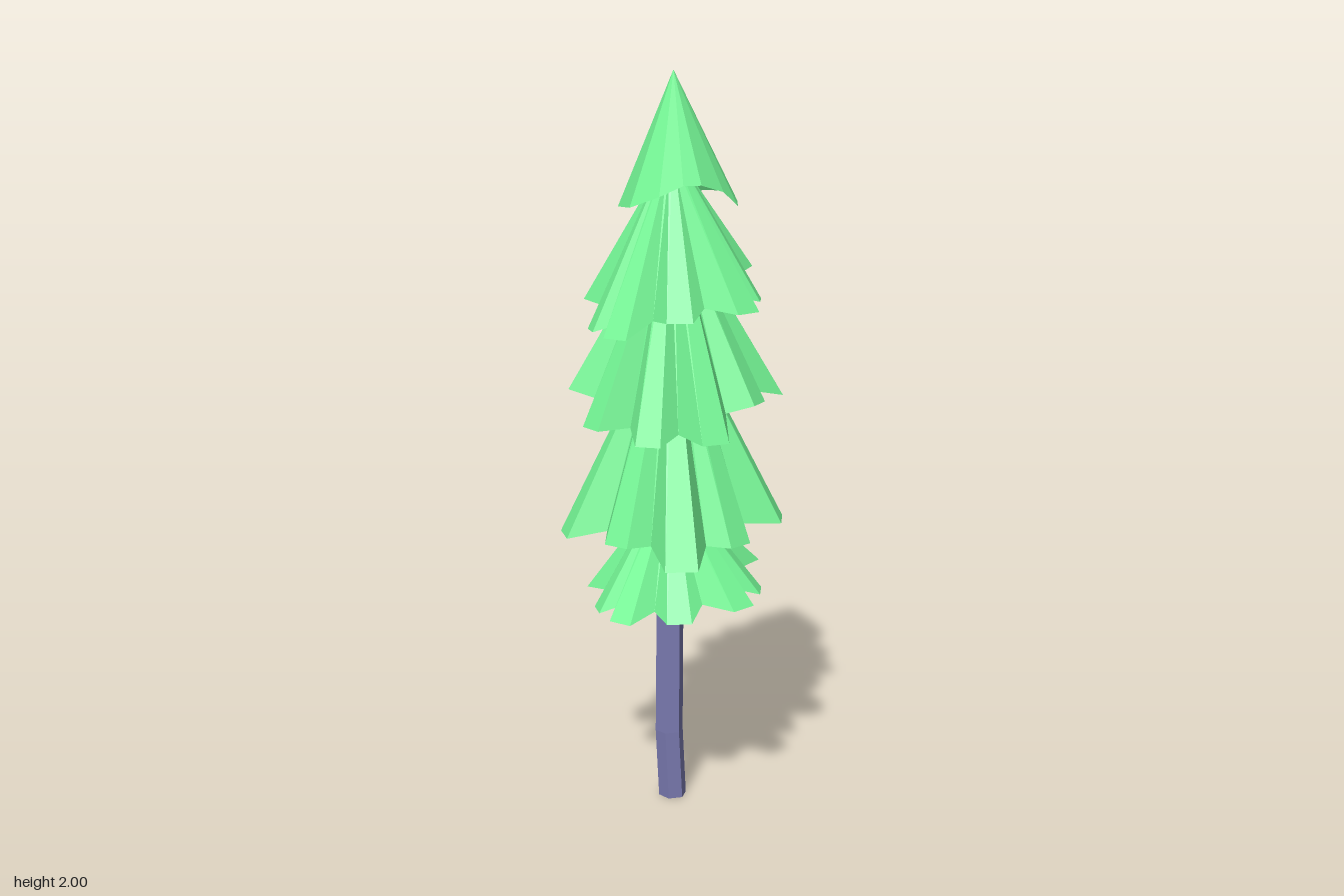
import * as THREE from 'three';

const leaf = new THREE.MeshStandardMaterial({ color: 0x74f695, flatShading: true, side: THREE.DoubleSide });
const bark = new THREE.MeshStandardMaterial({ color: 0x7d7db4, flatShading: true });

// Joins equal-length rings of [x, y, z], ordered bottom to top, into a faceted shell
function loft(rings) {
  const pos = [];
  const n = rings[0].length;
  for (let r = 0; r < rings.length - 1; r++) {
    for (let i = 0; i < n; i++) {
      const j = (i + 1) % n;
      const a = rings[r][i], b = rings[r][j], c = rings[r + 1][j], d = rings[r + 1][i];
      pos.push(...a, ...c, ...b, ...a, ...d, ...c);
    }
  }
  const geo = new THREE.BufferGeometry();
  geo.setAttribute('position', new THREE.Float32BufferAttribute(pos, 3));
  geo.computeVertexNormals();
  return geo;
}

// Pleated skirt of branches: flat lobes with a valley after each
function skirt({ apex, topR, phase, lobes }) {
  const rim = [], top = [], tip = [];
  const add = (angle, radius, y) => {
    const c = Math.cos(angle), s = Math.sin(angle);
    rim.push([radius * c, y, radius * s]);
    top.push([topR * c, apex - 0.04, topR * s]);
    tip.push([0, apex, 0]);
  };
  const step = (Math.PI * 2) / lobes.length;
  lobes.forEach(([radius, y], i) => {
    const mid = THREE.MathUtils.degToRad(phase) + i * step;
    const [nextRadius, nextY] = lobes[(i + 1) % lobes.length];
    add(mid - 0.14, radius, y);
    add(mid + 0.14, radius, y);
    add(mid + step / 2, (radius + nextRadius) * 0.375, (y + nextY) / 2 + 0.02);
  });
  return loft([rim, top, tip]);
}

export function createModel() {
  const tree = new THREE.Group();
  tree.name = 'pineTree';
  const part = (name, geo, mat) => {
    const mesh = new THREE.Mesh(geo, mat);
    mesh.name = name;
    tree.add(mesh);
  };

  // Slightly bent six-sided trunk, closed at both ends: [y, centre x, radius]
  const trunkPath = [[0, 0, 0], [0, 0, 0.039], [0.2, -0.013, 0.039],
    [0.62, -0.009, 0.038], [1.8, 0, 0.025], [1.8, 0, 0]];
  part('trunk', loft(trunkPath.map(([y, x, r]) => Array.from({ length: 6 }, (_, i) => {
    const a = (i * Math.PI) / 3;
    return [x + r * Math.sin(-a), y, r * Math.cos(a)];
  }))), bark);

  // Four pleated skirts from the ground up; each lobe is [radius, rim height], from +x towards +z
  const skirts = [
    { apex: 0.9, topR: 0.05, phase: 10,
      lobes: [[0.272, 0.655], [0.245, 0.61], [0.272, 0.615], [0.235, 0.585], [0.242, 0.575],
        [0.215, 0.565], [0.25, 0.59], [0.25, 0.61], [0.225, 0.645]] },
    { apex: 1.34, topR: 0.05, phase: 10,
      lobes: [[0.283, 0.79], [0.3, 0.815], [0.258, 0.785], [0.306, 0.75], [0.257, 0.79],
        [0.304, 0.785], [0.255, 0.79], [0.29, 0.785], [0.262, 0.83]] },
    { apex: 1.62, topR: 0.04, phase: 30,
      lobes: [[0.3, 1.145], [0.255, 1.15], [0.27, 1.07], [0.24, 1.06], [0.262, 1.09],
        [0.278, 1.17], [0.238, 1.2], [0.297, 1.22], [0.26, 1.18]] },
    { apex: 1.79, topR: 0.035, phase: 10,
      lobes: [[0.24, 1.485], [0.235, 1.41], [0.278, 1.4], [0.24, 1.38], [0.256, 1.335],
        [0.225, 1.335], [0.25, 1.4], [0.267, 1.43], [0.25, 1.47]] },
  ];
  skirts.forEach((s, i) => part(`branchSkirt${i + 1}`, skirt(s), leaf));

  // Pointed crown with an uneven rim, from +x towards +z
  const rim = [[0.175, 1.685, 0.02], [0.15, 1.665, 0.09], [0.1, 1.655, 0.14], [0.04, 1.695, 0.145],
    [-0.04, 1.715, 0.145], [-0.085, 1.715, 0.125], [-0.15, 1.69, 0.105], [-0.172, 1.66, 0.02],
    [-0.12, 1.655, -0.08], [-0.05, 1.655, -0.13], [0.08, 1.65, -0.16], [0.15, 1.675, -0.115], [0.165, 1.685, -0.04]];
  part('crown', loft([rim, rim.map(() => [0.003, 2, 0])]), leaf);

  return tree;
}
